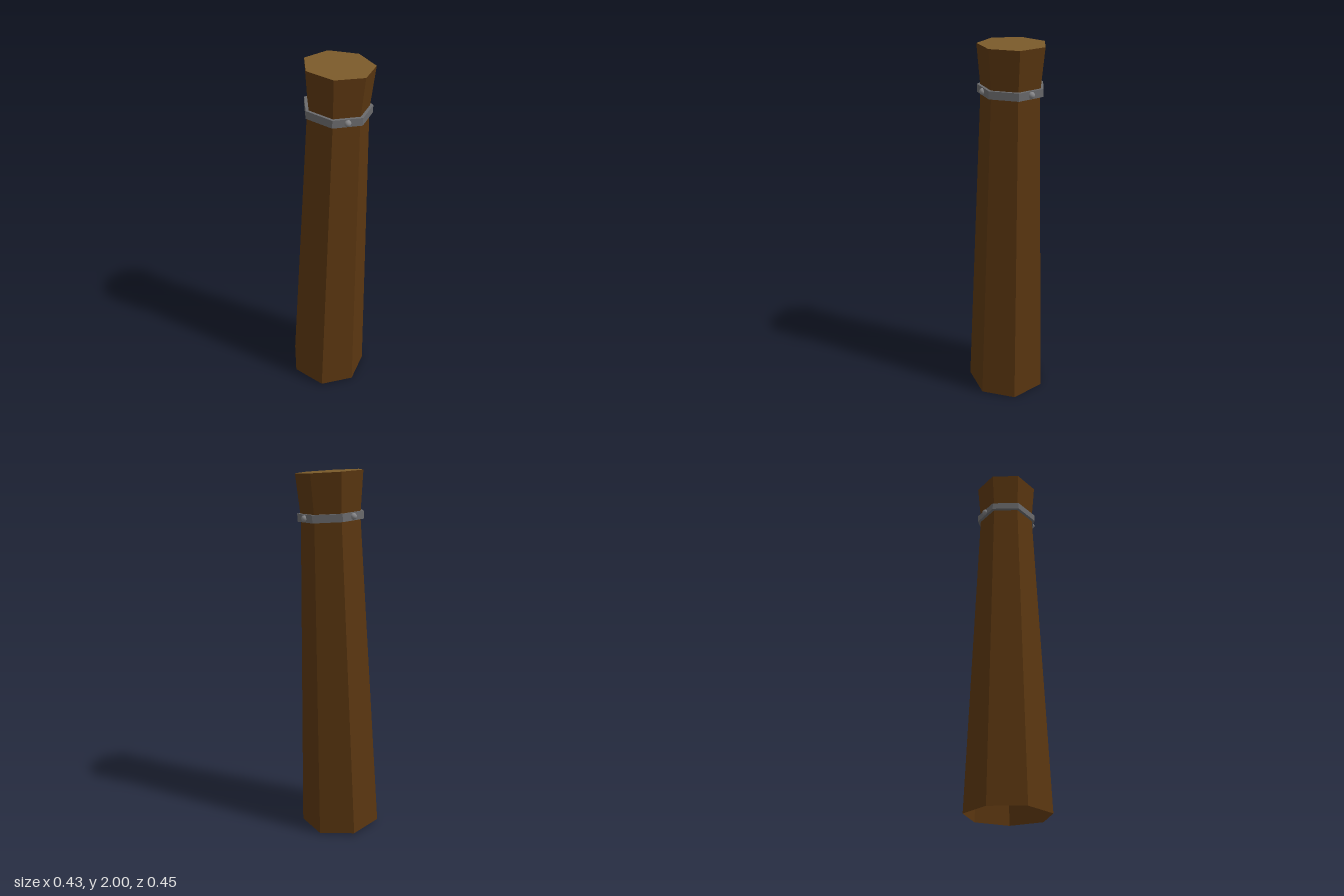
import * as THREE from 'three';

const SIDES = 7;
const START = -3 * Math.PI / 180;
const STEP = Math.PI * 2 / SIDES;

// Point around the leaning axis; the cuts slope slightly with the lean
function axisPoint(y, radius, angle) {
  const t = y / 1.993;
  const x = -0.009 + 0.022 * t + radius * Math.cos(angle);
  const z = 0.003 - 0.057 * t + radius * Math.sin(angle);
  return new THREE.Vector3(x, y - 0.035 * x + 0.045 * z, z);
}

const ring = (y, radius) =>
  Array.from({ length: SIDES }, (_, i) => axisPoint(y, radius, START + i * STEP));

function fromPoints(points) {
  const geometry = new THREE.BufferGeometry().setFromPoints(points);
  geometry.computeVertexNormals();
  return geometry;
}

// Skin a list of rings with flat faces
function loft(rings) {
  const points = [];
  for (let r = 0; r < rings.length - 1; r++) {
    for (let i = 0; i < SIDES; i++) {
      const j = (i + 1) % SIDES;
      const a = rings[r][i], b = rings[r][j], c = rings[r + 1][j], d = rings[r + 1][i];
      points.push(a, d, c, a, c, b);
    }
  }
  return fromPoints(points);
}

function cap(y, radius) {
  const edge = ring(y, radius);
  const centre = axisPoint(y, 0, 0);
  return fromPoints(edge.flatMap((p, i) => [centre, edge[(i + 1) % SIDES], p]));
}

export function createModel() {
  const group = new THREE.Group();
  const add = (name, geometry, material) => {
    const mesh = new THREE.Mesh(geometry, material);
    mesh.name = name;
    group.add(mesh);
    return mesh;
  };
  const wood = new THREE.MeshStandardMaterial({ color: 0x5a3610, flatShading: true, side: THREE.DoubleSide });
  const cutWood = new THREE.MeshStandardMaterial({ color: 0x7a5a2a, flatShading: true, side: THREE.DoubleSide });
  const iron = new THREE.MeshStandardMaterial({ color: 0x6a6a6c, flatShading: true });
  const rivetMetal = new THREE.MeshStandardMaterial({ color: 0x858587 });

  // Tapered post, open underneath, pinched where the band sits
  add('post', loft([ring(0.015, 0.225), ring(1.773, 0.157), ring(1.993, 0.177)]), wood);
  add('postTop', cap(1.993, 0.177), cutWood);

  // Closed band around the neck
  const low = 1.753, high = 1.793, inner = 0.15, outer = 0.175;
  add('band', loft([
    ring(low, inner), ring(low, outer), ring(high, outer), ring(high, inner), ring(low, inner),
  ]), iron);

  // Rivets in the middle of three band faces
  for (const face of [0, 3, 5]) {
    const rivet = add('rivet', new THREE.SphereGeometry(0.017, 16, 10), rivetMetal);
    rivet.position.copy(axisPoint(1.773, 0.158, START + (face + 0.5) * STEP));
  }
  return group;
}
